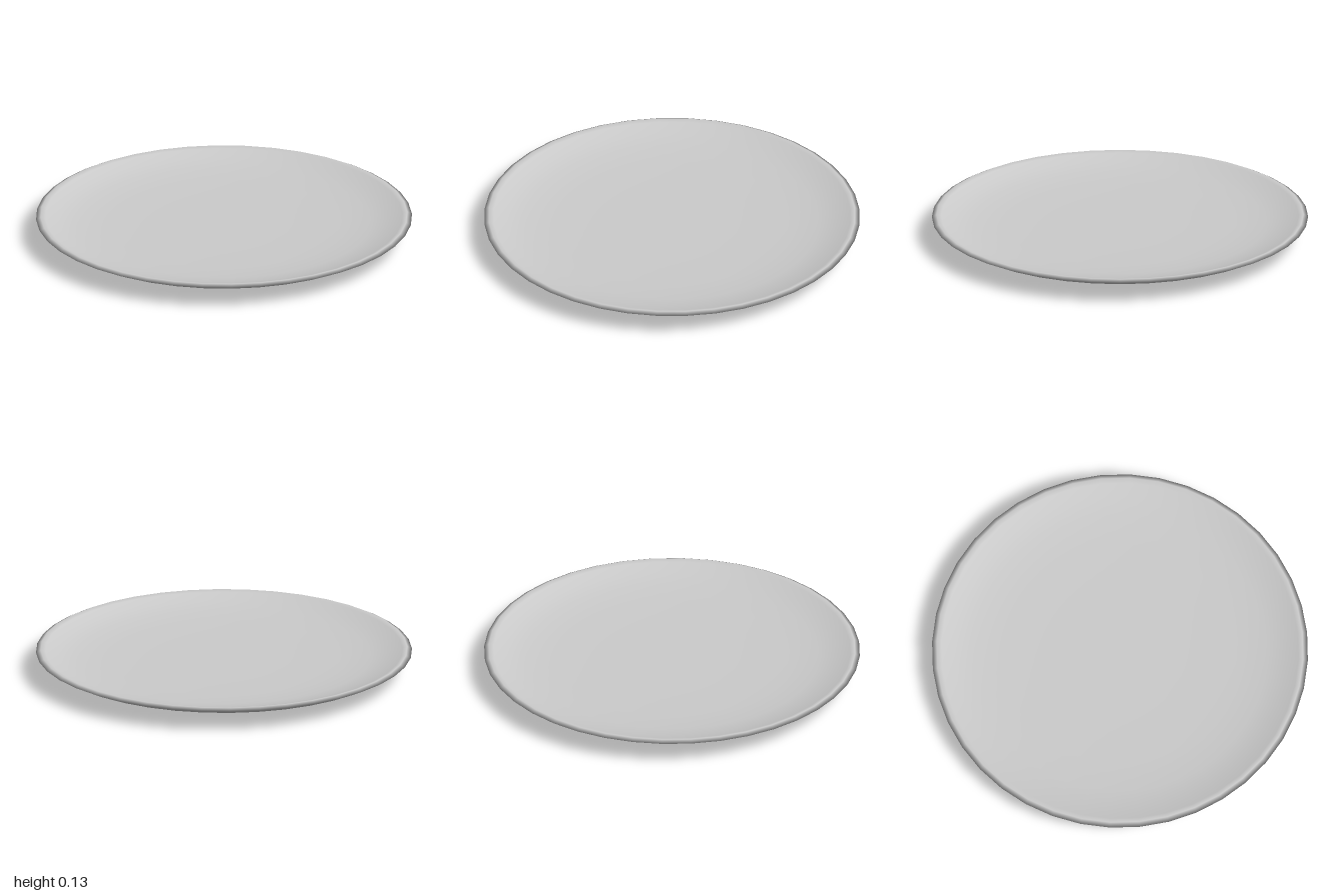
import * as THREE from 'three';

const SEGMENTS = 40;

// Revolve a profile of [radius, height] pairs around the y axis
function turned(name, profile, material) {
  const points = profile.map(([r, y]) => new THREE.Vector2(r, y));
  const mesh = new THREE.Mesh(new THREE.LatheGeometry(points, SEGMENTS), material);
  mesh.name = name;
  return mesh;
}

export function createModel() {
  const plate = new THREE.Group();
  plate.name = 'plate';
  const material = new THREE.MeshStandardMaterial({ color: 0xcccccc });

  // Hollow underside inside the foot, meeting the foot at a sharp edge
  plate.add(turned('footRecess', [
    [0, 0.04], [0.25, 0.039], [0.47, 0.036], [0.55, 0],
  ], material));

  // Foot, outer underside, rim and shallow dish in one smooth sweep
  plate.add(turned('dish', [
    [0.55, 0], [0.594, 0.048], [0.65, 0.054], [0.8, 0.067], [0.94, 0.086],
    [1.0, 0.115], [0.975, 0.128], [0.95, 0.121],
    [0.88, 0.1], [0.78, 0.083], [0.62, 0.073], [0.35, 0.069], [0, 0.068],
  ], material));

  return plate;
}
